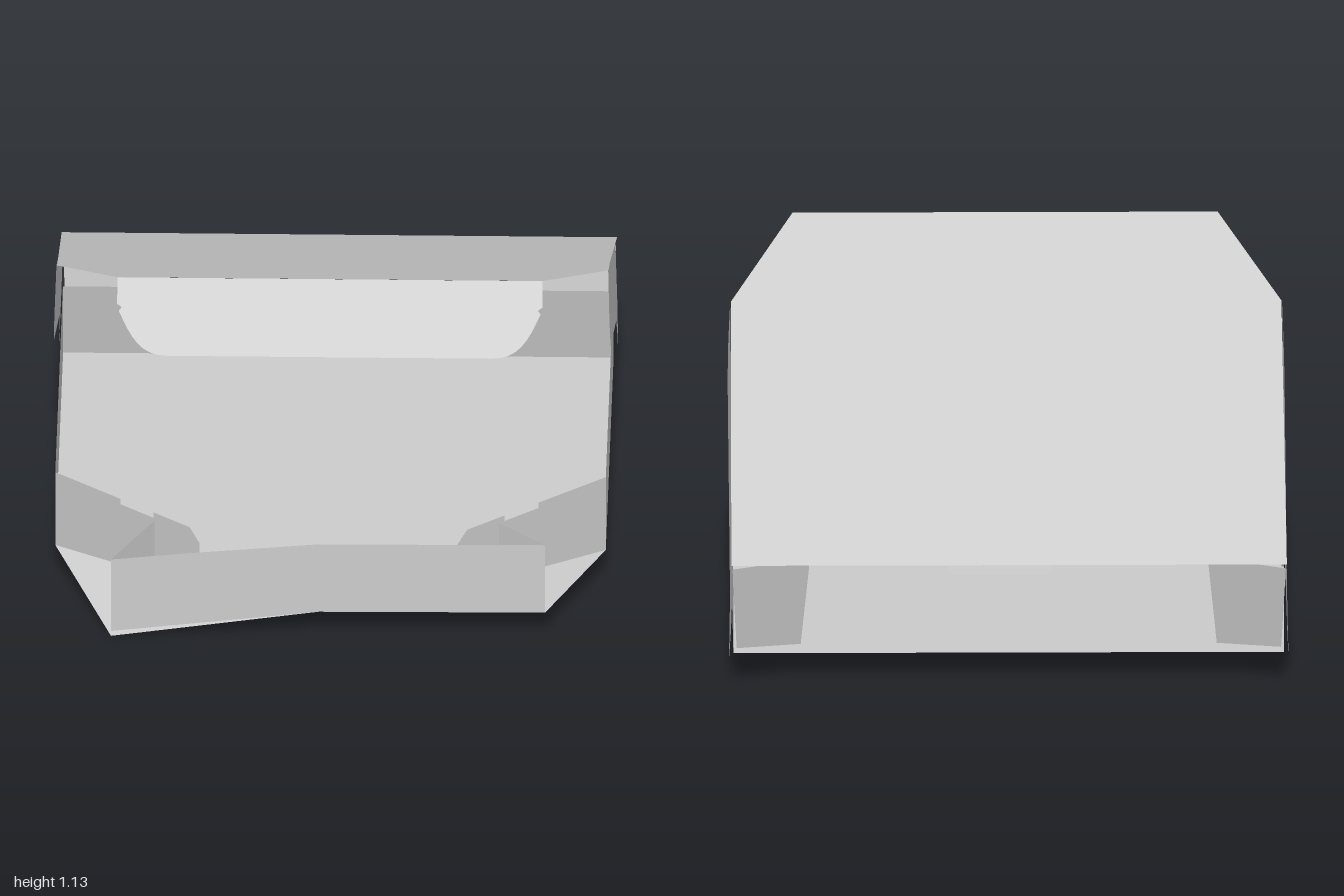
import * as THREE from 'three';

const card = new THREE.MeshStandardMaterial({ color: 0xcccccc, side: THREE.DoubleSide });
card.name = 'plain card';

// Flat card panel: a 2D outline placed in space by a mapping (u, v) -> [x, y, z]
function panel(parent, name, outline, map) {
  const pts = outline.map(([u, v]) => new THREE.Vector2(u, v));
  if (THREE.ShapeUtils.isClockWise(pts)) pts.reverse();
  const faces = THREE.ShapeUtils.triangulateShape(pts, []);
  const pos = faces.flat().flatMap(i => map(pts[i].x, pts[i].y));
  const geo = new THREE.BufferGeometry();
  geo.setAttribute('position', new THREE.Float32BufferAttribute(pos, 3));
  geo.computeVertexNormals();
  const mesh = new THREE.Mesh(geo, card);
  mesh.name = name;
  parent.add(mesh);
}

// Upright panel along a floor line a -> b; outline u runs 0..1 along it, v is height
function wall(parent, name, a, b, outline) {
  panel(parent, name, outline, (u, v) => [a[0] + (b[0] - a[0]) * u, v, a[1] + (b[1] - a[1]) * u]);
}

export function createModel() {
  const model = new THREE.Group();
  const box = new THREE.Group();
  box.name = 'openBox';
  box.rotation.y = -0.033;
  box.position.x = -0.018;
  model.add(box);

  const F = 0.085, H = 0.355;
  const rect = (lo, hi) => [[0, lo], [1, lo], [1, hi], [0, hi]];

  // Tray floor, with one sagging front corner
  panel(box, 'floor',
    [[-0.9, -0.8], [0.9, -0.8], [0.9, 0.53], [0.71, 0.967], [-0.03, 0.975], [-0.9, 0.53]],
    (x, z) => [x, F, z]);
  const sagY = x => F - (x < -0.6 && x > -0.8 ? 0.083 : 0);
  panel(box, 'saggingCorner', [[-0.9, 0.53], [-0.03, 0.975], [-0.709, 1.0]],
    (x, z) => [x, sagY(x), z]);

  // Tray front wall, its left half drooping
  wall(box, 'frontWall', [-0.03, 0.975], [0.71, 0.967], rect(F, 0.335));
  wall(box, 'droopingFrontWall', [-0.709, 1.0], [-0.03, 0.975],
    [[0, 0.02], [1, F], [1, 0.335], [0.35, 0.305], [0, 0.285]]);

  // Tray back wall, leaning inward, with a notch in its top edge
  panel(box, 'backWall',
    [[-0.9, F], [0.9, F], [0.9, 0.36], [0.66, 0.36], [0.66, 0.39], [0.22, 0.39], [0.18, 0.335],
      [-0.13, 0.335], [-0.17, 0.39], [-0.66, 0.39], [-0.66, 0.36], [-0.9, 0.36]],
    (x, y) => [x, y, -0.8 + (y - F) * 0.2]);

  for (const s of [-1, 1]) {
    const side = s > 0 ? 'left' : 'right';

    // Tray side walls and their tabs folded across the front corners
    wall(box, side + 'SideWall', [s * 0.9, -0.8], [s * 0.9, 0.53], rect(F, H));
    wall(box, side + 'CornerPanel', [s * 0.9, 0.53], [s * 0.42, 0.93],
      [[0, F], [0.42, 0.11], [1, 0.11], [1, 0.31], [0.93, H], [0.68, H], [0.68, 0.335],
        [0.45, 0.335], [0.45, H], [0, H]]);
    if (s > 0) wall(box, 'leftFrontTab', [0.71, 0.967], [0.55, 0.81], rect(0.11, 0.335));
    else wall(box, 'rightFrontTab', [-0.709, 1.0], [-0.57, 0.81],
      [[0, 0.04], [1, 0.1], [1, 0.33], [0, 0.285]]);

    // Lid side flaps, square to the lid and slightly splayed
    panel(box, side + 'LidFlap',
      [[0.228, 0.96], [0.3, 0.81], [0.25, 0.69], [-0.69, 0.28], [-0.8, 0.17], [-0.81, 0.1],
        [-0.85, 0.09], [-0.95, 0.21], [-0.97, 0.44]],
      (z, y) => [s * (0.902 + 0.03 * Math.max(0, 0.44 + 0.434 * (z + 0.97) - y)), y, z]);

    // Tabs folded in at the hinge corners
    panel(box, side + 'HingeTab', [[0.905, 0.42], [0.65, 0.43], [0.68, 0.12], [0.89, 0.13]],
      (x, y) => [s * x, y, -0.8 - (y - 0.12) * 0.2 - Math.max(0, x - 0.65) * 0.35]);
  }

  // Lid top with chamfered front corners
  const lidHalf = [[0.908, -0.97], [0.9, 0.228], [0.695, 0.632]];
  panel(box, 'lidTop',
    [...lidHalf, ...lidHalf.map(([x, z]) => [-x, z]).reverse()],
    (x, z) => [x, 0.44 + (z + 0.97) * 0.434, z]);

  // Front lip with rounded lower corners; v is the drop below the lid edge
  const curve = new THREE.CubicBezierCurve(
    new THREE.Vector2(0.69, 0.1), new THREE.Vector2(0.65, 0.18),
    new THREE.Vector2(0.62, 0.235), new THREE.Vector2(0.53, 0.235));
  const half = [[0.695, 0], [0.695, 0.08], [0.68, 0.09],
    ...curve.getPoints(8).map(p => [p.x, p.y])];
  panel(box, 'frontLip', [...half, ...half.map(([x, v]) => [-x, v]).reverse()],
    (x, v) => [x, 1.135 - v, 0.632 + v * 0.434]);

  return model;
}
